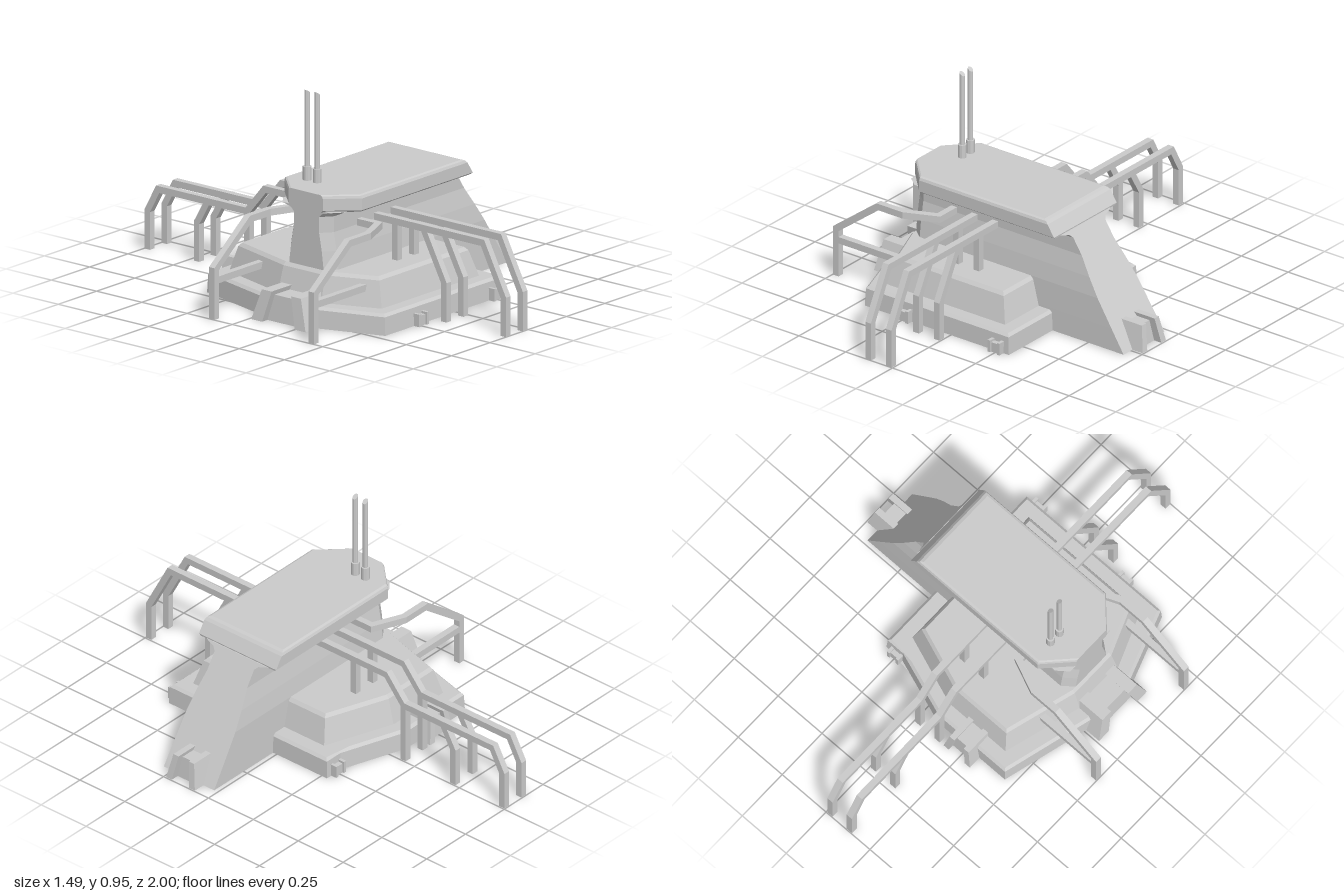
import * as THREE from 'three';

const MID = 0.16; // centre line of the tower in z
const V = (x, y, z) => new THREE.Vector3(x, y, z);

// Skin a closed, capped solid over rings of equal point count, facing outward.
function skin(rings) {
  const tris = [], n = rings[0].length, last = rings[rings.length - 1];
  for (let r = 0; r < rings.length - 1; r++) {
    for (let i = 0; i < n; i++) {
      const j = (i + 1) % n, a = rings[r], b = rings[r + 1];
      tris.push([a[i], a[j], b[j]], [a[i], b[j], b[i]]);
    }
  }
  for (let i = 1; i < n - 1; i++) {
    tris.push([rings[0][0], rings[0][i + 1], rings[0][i]], [last[0], last[i], last[i + 1]]);
  }
  const volume = tris.reduce((s, [a, b, c]) => s + a.dot(b.clone().cross(c)), 0);
  const pos = [];
  for (const [a, b, c] of tris) {
    for (const p of volume < 0 ? [a, c, b] : [a, b, c]) pos.push(p.x, p.y, p.z);
  }
  const g = new THREE.BufferGeometry();
  g.setAttribute('position', new THREE.Float32BufferAttribute(pos, 3));
  g.computeVertexNormals();
  return g;
}

// Move every edge of a convex [x, z] outline inward by d.
function inset(poly, d) {
  const n = poly.length;
  return poly.map((p, i) => {
    const a = poly[(i + n - 1) % n], b = poly[(i + 1) % n];
    const e1 = new THREE.Vector2(p[0] - a[0], p[1] - a[1]).normalize();
    const e2 = new THREE.Vector2(b[0] - p[0], b[1] - p[1]).normalize();
    const k = d / (1 + e1.dot(e2));
    return [p[0] - k * (e1.y + e2.y), p[1] + k * (e1.x + e2.x)];
  });
}

const level = (poly, y) => poly.map(([x, z]) => V(x, y, z));

// Square bar with mitred corners along a path.
function bar(points, w = 0.03) {
  const p = points.map((q) => V(...q));
  const dir = p.slice(1).map((q, i) => q.clone().sub(p[i]).normalize());
  const u = V(0, 0, 1).cross(dir[0]).normalize().multiplyScalar(w / 2);
  const v = dir[0].clone().cross(u);
  let ring = [[-1, -1], [1, -1], [1, 1], [-1, 1]].map(([a, b]) =>
    p[0].clone().addScaledVector(u, a).addScaledVector(v, b));
  const rings = [ring];
  for (let i = 1; i < p.length; i++) {
    const t = dir[i - 1], normal = t.clone().add(dir[i] || t);
    ring = ring.map((c) => c.clone().addScaledVector(t, p[i].clone().sub(c).dot(normal) / t.dot(normal)));
    rings.push(ring);
  }
  return skin(rings);
}

// Tower outline: chamfered left end, straight right end.
const towerOutline = (x0, x1, half, chX, chZ) => [
  [x0 + chX, MID - half], [x1, MID - half], [x1, MID + half],
  [x0 + chX, MID + half], [x0, MID + half - chZ], [x0, MID - half + chZ]];

export function createModel() {
  const model = new THREE.Group();
  const mat = new THREE.MeshStandardMaterial({ color: 0xcccccc, flatShading: true });
  const add = (name, geo, parent = model) => {
    const m = new THREE.Mesh(geo, mat);
    m.name = name;
    parent.add(m);
    return m;
  };
  const group = (name) => {
    const g = new THREE.Group();
    g.name = name;
    model.add(g);
    return g;
  };

  // Ground slab and raised deck
  const base = [[-0.46, -0.385], [-0.08, -0.385], [0.22, -0.28], [0.31, -0.28],
    [0.31, 0.6], [-0.46, 0.6], [-0.57, 0.29], [-0.57, 0.03]];
  add('baseSlab', skin([level(base, 0), level(inset(base, 0.004), 0.08), level(inset(base, 0.016), 0.092)]));
  const deck = [[-0.4, -0.315], [-0.08, -0.315], [0.235, -0.2], [0.235, 0.53],
    [-0.4, 0.53], [-0.5, 0.28], [-0.5, 0.04]];
  add('deck', skin([level(deck, 0.09), level(inset(deck, 0.032), 0.205), level(inset(deck, 0.045), 0.22)]));

  // Tower body with a sloping right face, waisted towards the top
  const slopeX = (y) => 0.69 - 0.65 * y;
  const body = [[0, 0.14, -0.49], [0.1, 0.138, -0.48], [0.22, 0.135, -0.455], [0.3, 0.125, -0.455],
    [0.38, 0.11, -0.455], [0.45, 0.11, -0.455], [0.465, 0.125, -0.455], [0.478, 0.17, -0.455]];
  add('towerBody', skin(body.map(([y, half, x0]) => level(towerOutline(x0, slopeX(y), half, 0.05, 0.04), y))));

  // Overhanging roof
  const roof = [[0.475, 0.205, 0.375], [0.483, 0.215, 0.376], [0.535, 0.215, 0.342], [0.546, 0.21, 0.33], [0.55, 0.2, 0.315]];
  add('roof', skin(roof.map(([y, half, x1]) => level(towerOutline(-0.46, x1, half, 0.115, 0.12), y))));

  // Paired masts with slanted tips
  for (const z of [0.052, 0.108]) {
    const mast = group('mast');
    mast.position.set(-0.323, 0.55, z);
    add('mastSocket', new THREE.CylinderGeometry(0.019, 0.019, 0.06, 10), mast).position.y = 0.03;
    const rod = new THREE.CylinderGeometry(0.012, 0.012, 0.36, 10);
    const a = rod.attributes.position;
    for (let i = 0; i < a.count; i++) if (a.getY(i) > 0) a.setY(i, a.getY(i) - a.getX(i) * 0.7);
    add('mastRod', rod, mast).position.y = 0.21;
  }

  // Two long pipes running front to back, with legs and deck posts
  for (const x of [-0.13, -0.02]) {
    const pipe = group('longPipe');
    const run = (name, pts) => add(name, bar(pts.map(([z, y]) => [x, y, z])), pipe);
    run('mainRun', [[0.985, 0], [0.985, 0.17], [0.87, 0.39], [-0.335, 0.39], [-0.432, 0.275],
      [-0.925, 0.275], [-0.982, 0.17], [-0.982, 0]]);
    run('frontLeg', [[0.657, 0], [0.657, 0.17], [0.54, 0.39]]);
    run('backLeg', [[-0.71, 0], [-0.71, 0.17], [-0.65, 0.275]]);
    run('stepLeg', [[-0.432, 0], [-0.432, 0.28]]);
    for (const z of [0.385, -0.155]) run('deckPost', [[z, 0.2], [z, 0.39]]);
  }

  // Left side pipes, mirrored about the tower centre line
  for (const s of [-1, 1]) {
    const pipe = group('sidePipe');
    const z = (d) => MID + s * d;
    add('upperRun', bar([[-0.733, 0, z(0.275)], [-0.733, 0.22, z(0.275)], [-0.51, 0.39, z(0.275)],
      [-0.38, 0.39, z(0.275)], [-0.24, 0.39, z(0.215)], [-0.24, 0.39, z(0.09)]]), pipe);
    add('lowerRun', bar([[-0.733, 0.17, z(0.275)], [-0.39, 0.17, z(0.275)]]), pipe);
  }

  // Ground clamps: two flared cheeks around a lower block; local +x points outward
  function clamp(x, z, angle, w, d, h, back) {
    const g = group('groundClamp');
    g.position.set(x, 0, z);
    g.rotation.y = angle;
    const t = w * 0.2;
    const rect = (xa, xb, za, zb, y) => level([[xa, za], [xb, za], [xb, zb], [xa, zb]], y);
    for (const s of [-1, 1]) {
      add('clampCheek', skin([
        rect(-back, d, s * (w / 2 - t), s * w / 2, 0),
        rect(-back, d * 0.75, s * (w / 2 - t * 1.6), s * (w / 2 - t * 0.7), h)]), g);
    }
    add('clampBlock', skin([
      rect(-back, d * 0.55, -w / 2 + t, w / 2 - t, 0),
      rect(-back, d * 0.4, -w / 2 + t, w / 2 - t, h * 0.85)]), g);
  }
  clamp(0.66, MID, 0, 0.16, 0.085, 0.115, 0.06);
  clamp(-0.56, MID, Math.PI, 0.3, 0.078, 0.135, 0.08);
  clamp(-0.24, -0.385, Math.PI / 2, 0.15, 0.06, 0.115, 0.08);

  // Small lugs on the slab edges
  for (const [x, z] of [[-0.24, 0.6], [0.25, 0.6], [0.25, -0.28]]) {
    const lug = group('edgeLug');
    lug.position.set(x, 0, z);
    for (const s of [-1, 1]) add('lugSide', new THREE.BoxGeometry(0.014, 0.055, 0.056), lug).position.set(s * 0.025, 0.0275, 0);
    add('lugCore', new THREE.BoxGeometry(0.04, 0.045, 0.04), lug).position.y = 0.0225;
  }
  return model;
}
